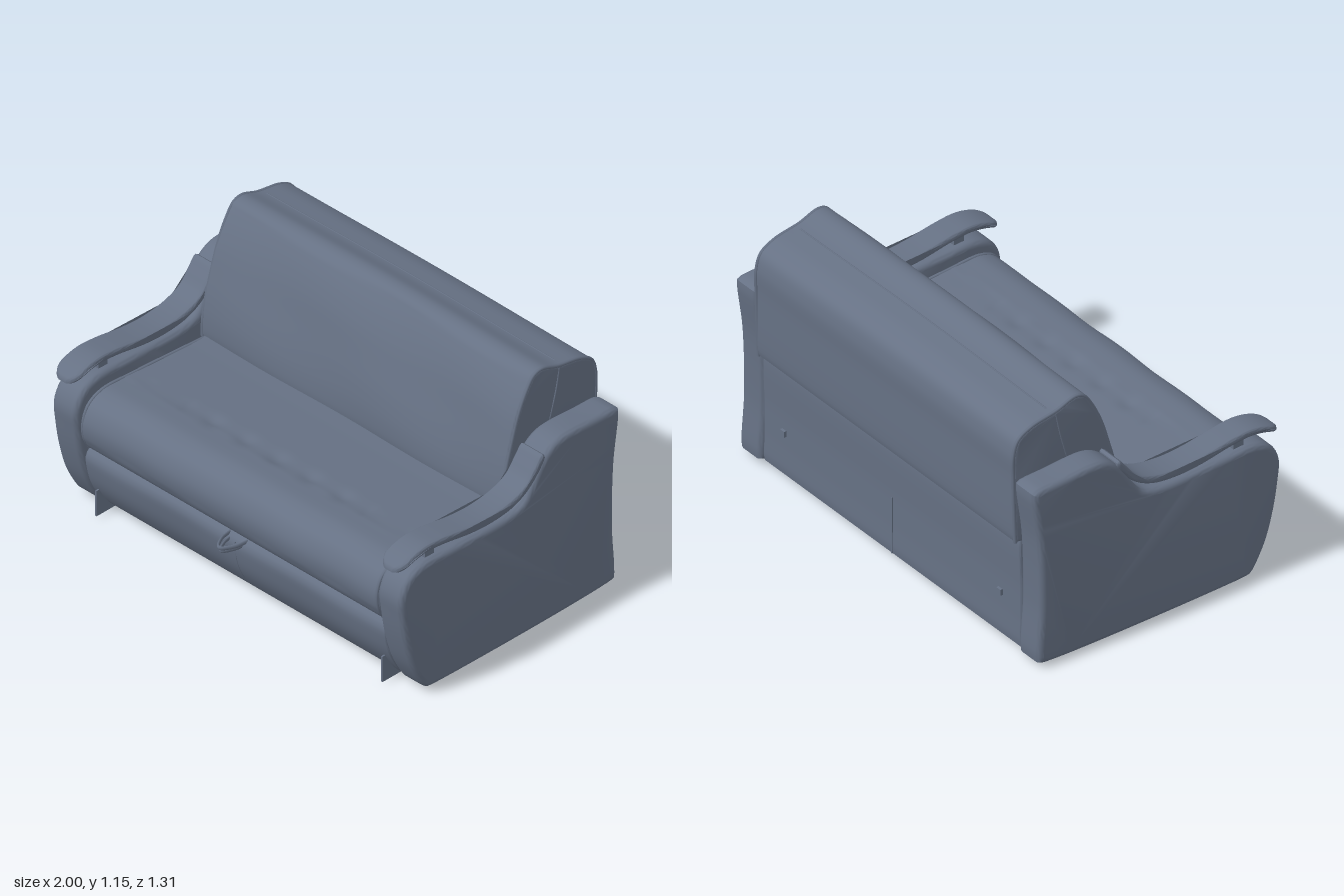
import * as THREE from 'three';
import { toCreasedNormals } from 'three/addons/utils/BufferGeometryUtils.js';

const upholstery = new THREE.MeshStandardMaterial({ color: 0x667184 });
upholstery.name = 'slate upholstery';

// Smooth closed side profile of [z, y] points, counter-clockwise
function ring(points, n) {
  const curve = new THREE.CatmullRomCurve3(points.map(([z, y]) => new THREE.Vector3(z, y, 0)), true, 'centripetal');
  const out = curve.getSpacedPoints(n).slice(0, n).map(p => new THREE.Vector2(p.x, p.y));
  return THREE.ShapeUtils.isClockWise(out) ? out.reverse() : out;
}

// Sweep a side profile across x with rounded ends; bump(x, z, y) gives [dz, dy]
function loft(points, x0, x1, round, steps, bump = () => [0, 0]) {
  const n = 140, arc = 5, base = ring(points, n), left = [], middle = [], pos = [], idx = [];
  for (let i = 0; i <= arc; i++) {
    const a = i / arc * Math.PI / 2;
    left.push([x0 + round * (1 - Math.cos(a)), round * (1 - Math.sin(a))]);
  }
  const right = left.map(([x, inset]) => [x0 + x1 - x, inset]).reverse();
  for (let i = 1; i < steps; i++) middle.push([x0 + round + (x1 - x0 - 2 * round) * i / steps, 0]);
  const stations = [...left, ...middle, ...right];
  for (const [x, inset] of stations) {
    base.forEach((p, j) => {
      const t = base[(j + 1) % n].clone().sub(base[(j + n - 1) % n]).normalize();
      const z = p.x - t.y * inset, y = p.y + t.x * inset;
      const [dz, dy] = bump(x, z, y);
      pos.push(x, y + dy, z + dz);
    });
  }
  for (let i = 0; i < stations.length - 1; i++) for (let j = 0; j < n; j++) {
    const a = i * n + j, b = i * n + (j + 1) % n, c = a + n, d = b + n;
    idx.push(a, c, b, b, c, d);
  }
  const last = (stations.length - 1) * n;
  for (const [a, b, c] of THREE.ShapeUtils.triangulateShape(base, [])) {
    idx.push(a, b, c, last + a, last + c, last + b);
  }
  const g = new THREE.BufferGeometry();
  g.setAttribute('position', new THREE.Float32BufferAttribute(pos, 3));
  g.setIndex(idx);
  return toCreasedNormals(g, 0.7);
}

export function createModel() {
  const model = new THREE.Group();
  model.name = 'sofa';
  const add = (name, geometry, x = 0, y = 0, z = 0) => {
    const mesh = new THREE.Mesh(geometry, upholstery);
    mesh.name = name;
    mesh.position.set(x, y, z);
    model.add(mesh);
    return mesh;
  };
  const box = (name, w, h, d, x, y, z) => add(name, new THREE.BoxGeometry(w, h, d), x, y, z);
  const tube = (name, pts, r) => add(name, new THREE.TubeGeometry(
    new THREE.CatmullRomCurve3(pts.map(p => new THREE.Vector3(...p)), false, 'centripetal'), pts.length * 8, r, 6));

  const armProfile = [
    [0.45, 0.025], [0.44, 0.022], [-0.61, 0.022], [-0.622, 0.03], [-0.612, 0.3], [-0.62, 0.6],
    [-0.648, 0.85], [-0.64, 0.862], [-0.5, 0.873], [-0.33, 0.88], [-0.27, 0.865], [-0.21, 0.82],
    [-0.14, 0.715], [-0.09, 0.657], [0, 0.636], [0.3, 0.642], [0.48, 0.645], [0.56, 0.61],
    [0.603, 0.53], [0.597, 0.43], [0.573, 0.29], [0.53, 0.15], [0.46, 0.03]];
  const restProfile = [
    [0.61, 0.655], [0.605, 0.675], [0.54, 0.71], [0.46, 0.727], [0.36, 0.72], [0.2, 0.694], [0.08, 0.688],
    [-0.04, 0.705], [-0.12, 0.74], [-0.17, 0.8], [-0.21, 0.845], [-0.225, 0.83], [-0.18, 0.76], [-0.12, 0.705],
    [-0.04, 0.668], [0.08, 0.653], [0.2, 0.66], [0.36, 0.687], [0.46, 0.694], [0.54, 0.68]];
  const backProfile = [
    [-0.11, 0.56], [-0.112, 0.64], [-0.13, 0.74], [-0.16, 0.85], [-0.2, 0.98], [-0.25, 1.087], [-0.287, 1.138],
    [-0.337, 1.15], [-0.43, 1.118], [-0.56, 1.09], [-0.625, 1.05], [-0.648, 0.98], [-0.648, 0.86],
    [-0.638, 0.555], [-0.63, 0.55], [-0.12, 0.535]];
  // The back rises towards the middle of its width
  const crown = (x, y) => Math.max(0, y - 0.9) * 0.025 * (Math.cos(x * 3.4) - 0.3);

  // Base body with a front drawer panel set slightly behind the cushion
  add('base', loft([
    [0.45, 0.03], [0.44, 0.026], [-0.6, 0.026], [-0.608, 0.035], [-0.608, 0.17], [-0.608, 0.3], [-0.61, 0.56],
    [-0.6, 0.57], [-0.2, 0.5], [0.4, 0.38], [0.52, 0.335], [0.552, 0.3], [0.545, 0.22], [0.515, 0.13]], -0.858, 0.858, 0.01, 30,
  (x, z, y) => [z > 0.45 ? 0.004 * Math.cos(x * 9) * Math.sin(y * 9) : 0, 0]));
  tube('drawerSeam', [[0, 0.045, 0.458], [0, 0.13, 0.518], [0, 0.22, 0.548], [0, 0.3, 0.554]], 0.003);

  // Seat cushion, dipping towards the back, with a row of tufts
  add('seatCushion', loft([
    [-0.2, 0.55], [0, 0.568], [0.2, 0.582], [0.38, 0.597], [0.48, 0.597], [0.55, 0.563], [0.587, 0.49],
    [0.583, 0.41], [0.55, 0.345], [0.49, 0.322], [0.3, 0.318], [-0.2, 0.318], [-0.22, 0.34], [-0.22, 0.53]],
  -0.857, 0.857, 0.03, 80, (x, z, y) => {
    if (y < 0.4) return [0, 0];
    const row = Math.exp(-(((z - 0.31) / 0.04) ** 2)) * (Math.abs(x) < 0.52 ? 1 : 0.2);
    return [z > 0.5 ? 0.002 * Math.cos(x * 16) : 0,
      -row * (0.004 + 0.01 * Math.cos(x * 17) ** 4) + (z > 0.35 ? 0.002 * Math.cos(x * 11) : 0)];
  }));

  // Backrest with a seam along its top
  add('backrest', loft(backProfile, -0.862, 0.862, 0.016, 50, (x, z, y) =>
    [z > -0.28 ? 0.004 * Math.sin(x * 7 + y * 9) : 0, crown(x, y)]));
  tube('topSeam', [-0.82, -0.6, -0.4, -0.2, 0, 0.2, 0.4, 0.6, 0.82].map(x => [x, 1.112 + crown(x, 1.112), -0.45]), 0.004);

  for (const s of [-1, 1]) {
    add('arm', loft(armProfile, s > 0 ? 0.858 : -0.999, s > 0 ? 0.999 : -0.858, 0.026, 2));

    // Bowed arm rest whose plan narrows to a rounded front end, on a short post
    const rest = loft(restProfile, -0.065, 0.065, 0.012, 8);
    const p = rest.attributes.position;
    for (let i = 0; i < p.count; i++) {
      const t = Math.max(0, (p.getZ(i) - 0.55) / 0.06);
      p.setX(i, p.getX(i) * Math.sqrt(Math.max(0.12, 1 - 0.85 * t * t)));
    }
    add('armRest', toCreasedNormals(rest, 0.7), s * 0.93);
    box('armRestPost', 0.07, 0.07, 0.052, s * 0.93, 0.668, 0.412);

    // Piping and seams on the back and seat ends
    tube('backPiping', backProfile.slice(0, 14).map(([z, y]) =>
      [s * 0.854, y - 0.005 + crown(0.854, y), z + (z > -0.3 ? -0.006 : 0.002)]), 0.009);
    tube('backSideSeam', [[s * 0.86, 1.098, -0.435], [s * 0.862, 1.0, -0.415], [s * 0.86, 0.87, -0.38]], 0.005);
    tube('seatPiping', [[s * 0.838, 0.556, -0.1], [s * 0.838, 0.586, 0.3], [s * 0.838, 0.592, 0.48],
      [s * 0.838, 0.557, 0.552], [s * 0.838, 0.49, 0.582], [s * 0.838, 0.41, 0.578], [s * 0.838, 0.345, 0.545]], 0.008);

    // Feet, inner casters, drawer runner plates and back knobs
    for (const z of [0.395, -0.53]) add('foot', new THREE.CylinderGeometry(0.035, 0.031, 0.024, 24), s * 0.93, 0.012, z);
    add('caster', new THREE.CylinderGeometry(0.022, 0.022, 0.02, 16), s * 0.77, 0.018, -0.1);
    box('runnerPlate', 0.008, 0.125, 0.65, s * 0.815, 0.069, 0.208);
    box('backKnob', 0.028, 0.028, 0.014, s * 0.72, 0.235, -0.613);
  }

  // Underframe rail and panel seams
  box('underframeRail', 1.63, 0.024, 0.03, 0, 0.018, -0.157);
  box('backPanelSeam', 0.006, 0.27, 0.008, 0, 0.17, -0.609);
  box('bottomSeam', 0.006, 0.006, 1.0, 0, 0.025, -0.08);

  // Pull strap: two stacked loops on the front, the lower one smaller
  for (const [y, k] of [[0.317, 1], [0.298, 0.8]]) {
    const strap = tube('pullStrap', [[-0.05, 0, 0.53], [-0.04, 0, 0.59], [-0.012, 0, 0.64], [0, 0, 0.646],
      [0.012, 0, 0.64], [0.04, 0, 0.59], [0.05, 0, 0.53]], 0.006);
    strap.scale.set(k, 1.7, 1);
    strap.position.set(0, y, (k - 1) * 0.05);
  }
  return model;
}
